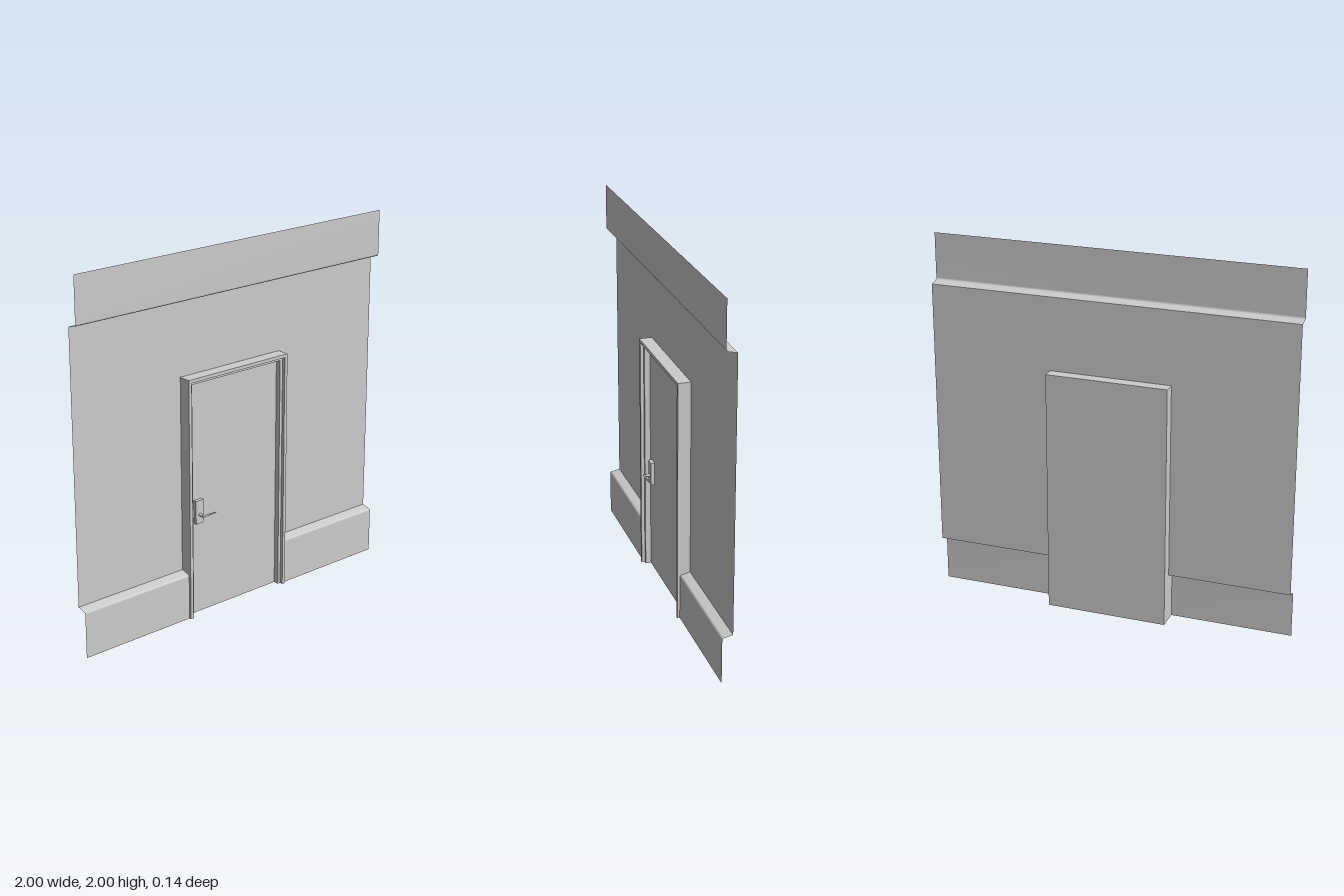
import * as THREE from 'three';

const mat = new THREE.MeshStandardMaterial({ color: 0xcccccc, side: THREE.DoubleSide });

const W = 0.333, H = 1.335;            // outer door frame half width and height
const WALL_Z = -0.006, PANEL_Z = 0.05; // recessed wall and forward panels
const BACK_Z = -0.072, FRONT_Z = 0.063;

function add(parent, name, geometry, x = 0, y = 0, z = 0) {
  const mesh = new THREE.Mesh(geometry, mat);
  mesh.name = name;
  mesh.position.set(x, y, z);
  parent.add(mesh);
  return mesh;
}

// Thin sheet: a polyline of points swept between two ends by place(u, v, t)
function ribbon(points, t0, t1, place, flat = false) {
  let g = new THREE.PlaneGeometry(1, 1, 1, points.length - 1);
  const pos = g.attributes.position;
  points.forEach(([u, v], i) => {
    pos.setXYZ(i * 2, ...place(u, v, t0));
    pos.setXYZ(i * 2 + 1, ...place(u, v, t1));
  });
  if (flat) g = g.toNonIndexed();
  g.computeVertexNormals();
  return g;
}

// Inverted U outline standing on the floor
function archShape(outerW, outerH, innerW, innerH) {
  return new THREE.Shape([
    [-outerW, 0], [-innerW, 0], [-innerW, innerH], [innerW, innerH],
    [innerW, 0], [outerW, 0], [outerW, outerH], [-outerW, outerH],
  ].map(([x, y]) => new THREE.Vector2(x, y)));
}

function archTrim(outerW, outerH, innerW, innerH, depth) {
  return new THREE.ExtrudeGeometry(archShape(outerW, outerH, innerW, innerH), { depth, bevelEnabled: false });
}

function createWall() {
  const wall = new THREE.Group();
  wall.name = 'wall';
  const alongX = (z, y, x) => [x, y, z];
  // Profiles as [z, y], with a rounded step back to the wall
  const base = [[PANEL_Z, 0], [PANEL_Z, 0.243], [0.047, 0.251], [0.04, 0.255], [WALL_Z, 0.265]];
  const top = base.map(([z, y]) => [z, 2 - y]);

  const main = archShape(1, 1.735, W, H);
  // Lift the foot of the main sheet to the top of the base panels
  const sheet = new THREE.ShapeGeometry(main);
  const pos = sheet.attributes.position;
  for (let i = 0; i < pos.count; i++) if (pos.getY(i) < 0.01) pos.setY(i, 0.265);
  add(wall, 'mainWall', sheet, 0, 0, WALL_Z);

  add(wall, 'leftBasePanel', ribbon(base, W, 1, alongX));
  add(wall, 'rightBasePanel', ribbon(base, -1, -W, alongX));
  add(wall, 'upperPanel', ribbon(top, -1, 1, alongX));
  return wall;
}

function createDoor() {
  const door = new THREE.Group();
  door.name = 'door';
  const doorZ = 0.015, stepZ = 0.045;

  // Casing, open at the floor
  const outline = [[-W, 0], [-W, H], [W, H], [W, 0]];
  add(door, 'casingSides', ribbon(outline, BACK_Z, FRONT_Z, (x, y, z) => [x, y, z], true));
  const back = new THREE.PlaneGeometry(2 * W, H);
  back.rotateY(Math.PI);
  add(door, 'casingBack', back, 0, H / 2, BACK_Z);

  // Stepped trim and the recessed leaf
  add(door, 'outerTrim', archTrim(W, H, 0.315, 1.317, FRONT_Z - stepZ), 0, 0, stepZ);
  add(door, 'innerTrim', archTrim(0.316, 1.318, 0.298, 1.3, stepZ - doorZ), 0, 0, doorZ);
  add(door, 'doorLeaf', new THREE.PlaneGeometry(0.6, 1.302), 0, 0.651, doorZ);

  // Lock plate and lever handle
  const handle = new THREE.Group();
  handle.name = 'doorHandle';
  handle.position.set(-0.245, 0.57, doorZ);
  add(handle, 'lockPlate', new THREE.BoxGeometry(0.05, 0.13, 0.02), 0, 0.015, 0.01);
  const stem = new THREE.CylinderGeometry(0.006, 0.009, 0.035, 16);
  stem.rotateX(Math.PI / 2);
  add(handle, 'handleStem', stem, 0, 0, 0.036);
  const lever = new THREE.CylinderGeometry(0.003, 0.006, 0.09, 12);
  lever.rotateZ(-Math.PI / 2);
  add(handle, 'handleLever', lever, 0.038, 0, 0.051);
  door.add(handle);
  return door;
}

export function createModel() {
  const model = new THREE.Group();
  model.name = 'wallWithDoor';
  model.add(createWall(), createDoor());
  return model;
}
